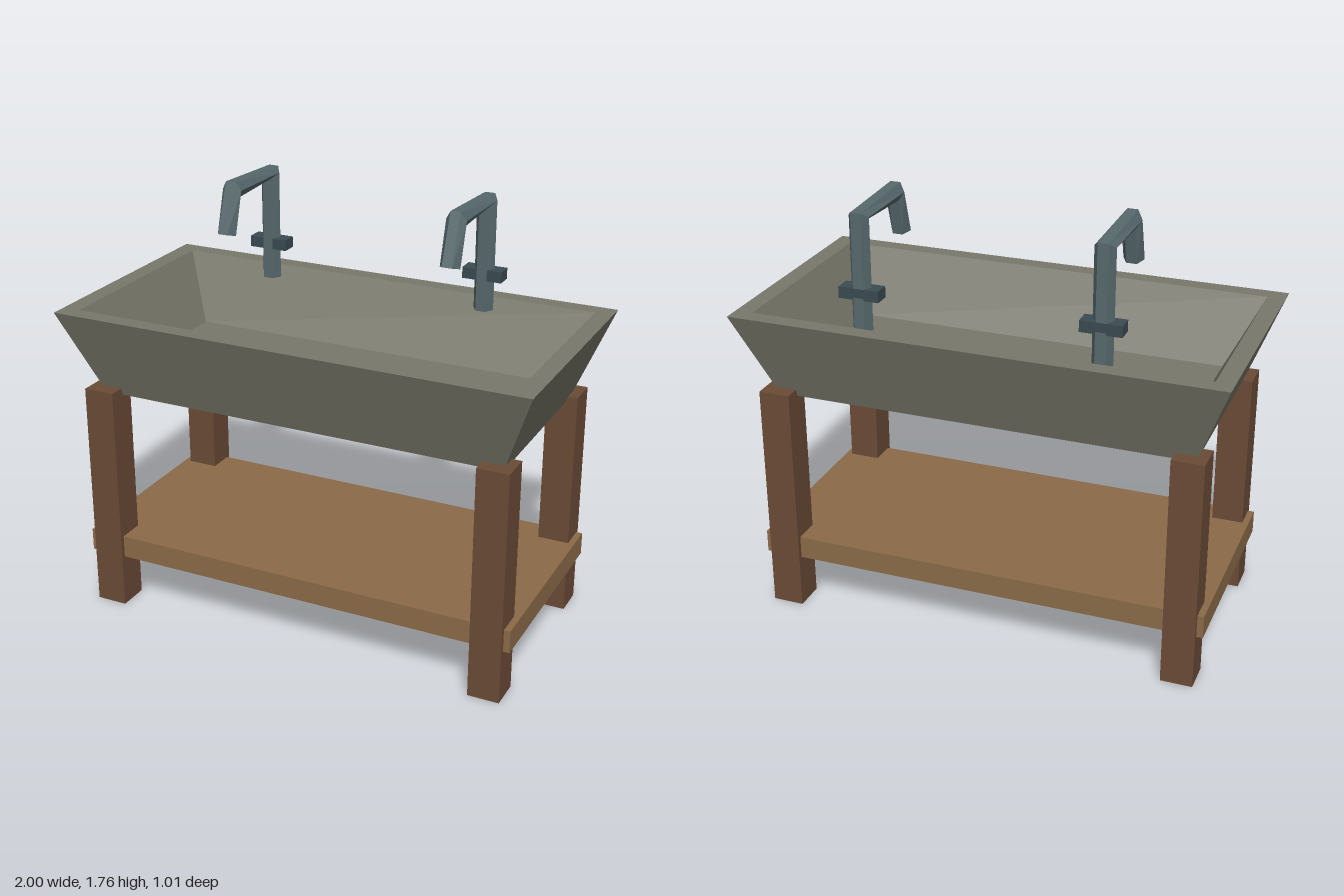
import * as THREE from 'three';

const mat = (name, color) => {
  const m = new THREE.MeshStandardMaterial({ color });
  m.name = name;
  return m;
};

// Flat-faced skin over equal-length rings of points, closed at both ends.
// Rings run counter-clockwise when looking back along the direction of travel.
function loft(rings) {
  const pos = [];
  const tri = (a, b, c) => pos.push(...a, ...b, ...c);
  const n = rings[0].length;
  for (let i = 0; i < rings.length - 1; i++) {
    for (let j = 0; j < n; j++) {
      const k = (j + 1) % n;
      const a = rings[i][j], b = rings[i][k], c = rings[i + 1][k], d = rings[i + 1][j];
      tri(a, b, c);
      tri(a, c, d);
    }
  }
  const first = rings[0], last = rings[rings.length - 1];
  for (let j = 1; j < n - 1; j++) {
    tri(first[0], first[j + 1], first[j]);
    tri(last[0], last[j], last[j + 1]);
  }
  const g = new THREE.BufferGeometry();
  g.setAttribute('position', new THREE.Float32BufferAttribute(pos, 3));
  g.computeVertexNormals();
  return g;
}

// Rectangle at height y with half sizes x and z
const rectRing = (x, y, z) => [[-x, y, z], [x, y, z], [x, y, -z], [-x, y, -z]];

// Hexagon across x, centred at (z, y), its outer flat facing (oz, oy)
function hexRing(z, y, oz, oy) {
  const r = 0.042, len = Math.hypot(oz, oy);
  return Array.from({ length: 6 }, (_, i) => {
    const t = (i * Math.PI) / 3, s = (r * Math.sin(t)) / len;
    return [r * Math.cos(t), y + s * oy, z + s * oz];
  });
}

export function createModel() {
  const model = new THREE.Group();
  model.name = 'washBasin';
  const stone = mat('stone', 0x77776a);
  const darkWood = mat('dark wood', 0x6b4b36);
  const lightWood = mat('light wood', 0x8b6b48);
  const metal = mat('blue grey metal', 0x56686c);
  const darkMetal = mat('dark metal', 0x3a4b52);

  const add = (parent, name, geometry, material, x = 0, y = 0, z = 0) => {
    const mesh = new THREE.Mesh(geometry, material);
    mesh.name = name;
    mesh.position.set(x, y, z);
    parent.add(mesh);
  };

  // Trough: outside wall, rim, inside wall, floor
  add(model, 'basin', loft([
    rectRing(0.86, 0.94, 0.38),
    rectRing(1.0, 1.3, 0.507),
    rectRing(0.927, 1.3, 0.437),
    rectRing(0.79, 1.03, 0.302),
  ]), stone);

  // Stand
  const legGeometry = new THREE.BoxGeometry(0.13, 0.97, 0.13);
  for (const sx of [-1, 1]) {
    for (const sz of [-1, 1]) {
      const name = (sz > 0 ? 'front' : 'back') + (sx > 0 ? 'Left' : 'Right') + 'Leg';
      add(model, name, legGeometry, darkWood, sx * 0.847, 0.485, sz * 0.39);
    }
  }
  add(model, 'shelf', new THREE.BoxGeometry(1.876, 0.095, 0.872), lightWood, 0, 0.268, 0);

  // Bent hexagonal taps with a cross block
  const spoutGeometry = loft([
    hexRing(-0.365, 1.27, -1, 0),
    hexRing(-0.363, 1.726, -0.055, 0.037),
    hexRing(-0.04, 1.728, 0.02, 0.06),
    hexRing(0.012, 1.554, 0.07, 0.019),
  ]);
  const blockGeometry = new THREE.BoxGeometry(0.166, 0.046, 0.068);
  for (const [name, x] of [['rightTap', -0.486], ['leftTap', 0.482]]) {
    const tap = new THREE.Group();
    tap.name = name;
    tap.position.x = x;
    add(tap, 'spout', spoutGeometry, metal);
    add(tap, 'handleBlock', blockGeometry, darkMetal, 0, 1.422, -0.365);
    model.add(tap);
  }
  return model;
}
